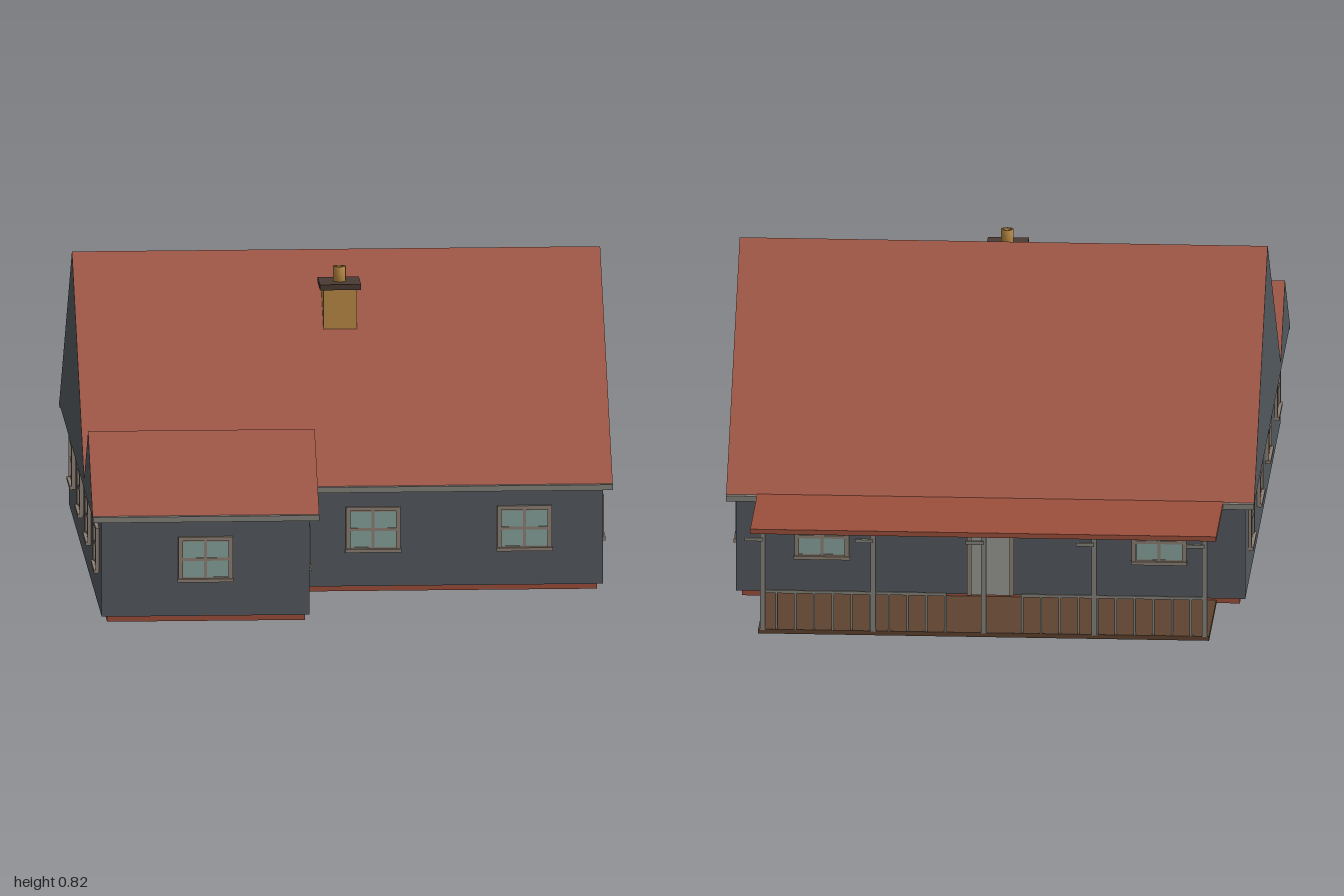
import * as THREE from 'three';

const mat = (name, color, side = THREE.FrontSide) => {
  const m = new THREE.MeshStandardMaterial({ color, side });
  m.name = name;
  return m;
};

export function createModel() {
  const M = {
    wall: mat('slate wall', 0x545a60, THREE.DoubleSide),
    roof: mat('red tile', 0x9c4f3b, THREE.DoubleSide),
    trim: mat('beige trim', 0x8d8073),
    metal: mat('grey metal', 0x85827c),
    glass: mat('pale glass', 0x88a39d),
    brick: mat('ochre brick', 0xb98a45),
    cap: mat('dark cap', 0x4a3a32),
    deck: mat('brown deck', 0x5e4330),
    door: mat('light door', 0x9a9a94),
  };
  const house = new THREE.Group();
  house.name = 'house';

  // Box given by its extents on each axis
  const box = (name, m, x0, x1, y0, y1, z0, z1, parent = house) => {
    const mesh = new THREE.Mesh(new THREE.BoxGeometry(x1 - x0, y1 - y0, z1 - z0), m);
    mesh.position.set((x0 + x1) / 2, (y0 + y1) / 2, (z0 + z1) / 2);
    mesh.name = name;
    parent.add(mesh);
    return mesh;
  };
  // Flat polygon, corners counter-clockwise from outside
  const face = (name, m, pts, parent) => {
    const g = new THREE.BufferGeometry();
    const pos = [];
    for (let i = 1; i < pts.length - 1; i++) pos.push(...pts[0], ...pts[i], ...pts[i + 1]);
    g.setAttribute('position', new THREE.Float32BufferAttribute(pos, 3));
    g.computeVertexNormals();
    const mesh = new THREE.Mesh(g, m);
    mesh.name = name;
    parent.add(mesh);
  };

  // Plinth and walls of the main house and the front wing
  box('mainPlinth', M.roof, -0.665, 0.665, 0.004, 0.02, -0.645, 0.55);
  box('wingPlinth', M.roof, -0.665, -0.137, 0.004, 0.02, 0.55, 0.958);
  box('mainWalls', M.wall, -0.68, 0.68, 0.02, 0.288, -0.655, 0.565);
  box('wingWalls', M.wall, -0.68, -0.125, 0.02, 0.288, 0.56, 0.97);

  // Gabled roof: two slopes, soffit and gable ends
  const gableRoof = (name, x0, x1, zBack, zRidge, zFront, yTop, rightGable) => {
    const g = new THREE.Group();
    g.name = name;
    house.add(g);
    const y = 0.29;
    face('frontSlope', M.roof, [[x0, y, zFront], [x1, y, zFront], [x1, yTop, zRidge], [x0, yTop, zRidge]], g);
    face('backSlope', M.roof, [[x1, y, zBack], [x0, y, zBack], [x0, yTop, zRidge], [x1, yTop, zRidge]], g);
    face('soffit', M.roof, [[x0, y, zBack], [x1, y, zBack], [x1, y, zFront], [x0, y, zFront]], g);
    face('leftEndGable', M.wall, [[x0, y, zBack], [x0, y, zFront], [x0, yTop, zRidge]], g);
    if (rightGable) face('rightEndGable', M.wall, [[x1, y, zFront], [x1, y, zBack], [x1, yTop, zRidge]], g);
  };
  gableRoof('mainRoof', -0.705, 0.705, -0.68, -0.047, 0.585, 0.82, true);
  gableRoof('wingRoof', -0.705, -0.1, 0.527, 0.755, 0.985, 0.483, false);

  // Gutters along the eaves
  box('frontGutter', M.metal, -0.1, 0.705, 0.279, 0.294, 0.58, 0.595);
  box('backGutter', M.metal, -0.705, 0.705, 0.279, 0.294, -0.693, -0.678);
  box('wingGutter', M.metal, -0.705, -0.1, 0.279, 0.294, 0.98, 0.996);

  // Four-pane windows, built facing +z
  const windowAt = (x, z, turn) => {
    const g = new THREE.Group();
    g.name = 'window';
    g.position.set(x, 0.174, z);
    g.rotation.y = turn;
    house.add(g);
    box('glass', M.glass, -0.064, 0.064, -0.053, 0.053, -0.002, 0.003, g);
    for (const s of [-1, 1]) {
      box('frameSide', M.trim, s * 0.067 - 0.006, s * 0.067 + 0.006, -0.06, 0.06, -0.002, 0.009, g);
      for (const e of [-1, 1]) { // sash rails beside the mullion
        const cx = s * 0.031, cy = e * 0.026;
        box('paneRail', M.trim, cx - 0.03, cx + 0.03, cy + e * 0.024 - 0.002, cy + e * 0.024 + 0.002, -0.001, 0.005, g);
      }
    }
    box('frameTop', M.trim, -0.073, 0.073, 0.051, 0.061, -0.002, 0.009, g);
    box('sill', M.trim, -0.075, 0.075, -0.061, -0.052, -0.002, 0.014, g);
    box('mullion', M.trim, -0.004, 0.004, -0.053, 0.053, -0.002, 0.006, g);
    box('crossBar', M.trim, -0.064, 0.064, -0.004, 0.004, -0.002, 0.006, g);
  };
  windowAt(-0.403, 0.97, 0);
  for (const x of [0.066, 0.47]) windowAt(x, 0.565, 0);
  for (const z of [0.36, -0.04, -0.445]) windowAt(0.68, z, Math.PI / 2);
  windowAt(-0.125, 0.762, Math.PI / 2);
  for (const z of [0.762, 0.36, -0.04, -0.445]) windowAt(-0.68, z, -Math.PI / 2);
  for (const x of [-0.45, 0.45]) windowAt(x, -0.655, Math.PI);

  // Back door
  box('door', M.door, -0.052, 0.052, 0.02, 0.222, -0.66, -0.65);
  for (const s of [-1, 1]) box('doorJamb', M.trim, s * 0.057 - 0.006, s * 0.057 + 0.006, 0.02, 0.234, -0.665, -0.65);
  box('doorHead', M.trim, -0.063, 0.063, 0.222, 0.234, -0.665, -0.65);

  // Chimney
  box('chimneyStack', M.brick, -0.045, 0.045, 0.58, 0.75, 0.075, 0.165);
  box('chimneyCap', M.cap, -0.055, 0.055, 0.75, 0.765, 0.063, 0.177);
  const potShape = [[0.009, 0.765], [0.017, 0.765], [0.017, 0.805], [0.009, 0.805], [0.009, 0.765]]
    .map(([r, y]) => new THREE.Vector2(r, y));
  const pot = new THREE.Mesh(new THREE.LatheGeometry(potShape, 16), M.brick);
  pot.position.z = 0.12;
  pot.name = 'chimneyPot';
  house.add(pot);

  // Porch deck, roof, posts with brackets
  box('porchDeck', M.deck, -0.602, 0.602, 0, 0.012, -0.982, -0.645);
  box('porchRoof', M.roof, -0.622, 0.622, 0.282, 0.295, -1, -0.672);
  for (let i = -2; i <= 2; i++) {
    const x = i * 0.295;
    box('porchPost', M.metal, x - 0.007, x + 0.007, 0.01, 0.283, -0.983, -0.969);
    box('sideBracket', M.metal, x, x + 0.048, 0.258, 0.267, -0.988, -0.978);
    box('innerBracket', M.metal, x - 0.004, x + 0.004, 0.258, 0.267, -0.975, -0.935);
  }

  // Porch railing, open in the middle
  for (const s of [-1, 1]) {
    const a = Math.min(s * 0.1, s * 0.59), b = Math.max(s * 0.1, s * 0.59);
    box('handRail', M.metal, a, b, 0.112, 0.12, -0.98, -0.972);
    for (let i = 0; i < 10; i++) {
      const x = s * (0.103 + i * 0.05);
      box('baluster', M.metal, x - 0.003, x + 0.003, 0.01, 0.114, -0.979, -0.973);
    }
  }
  return house;
}
